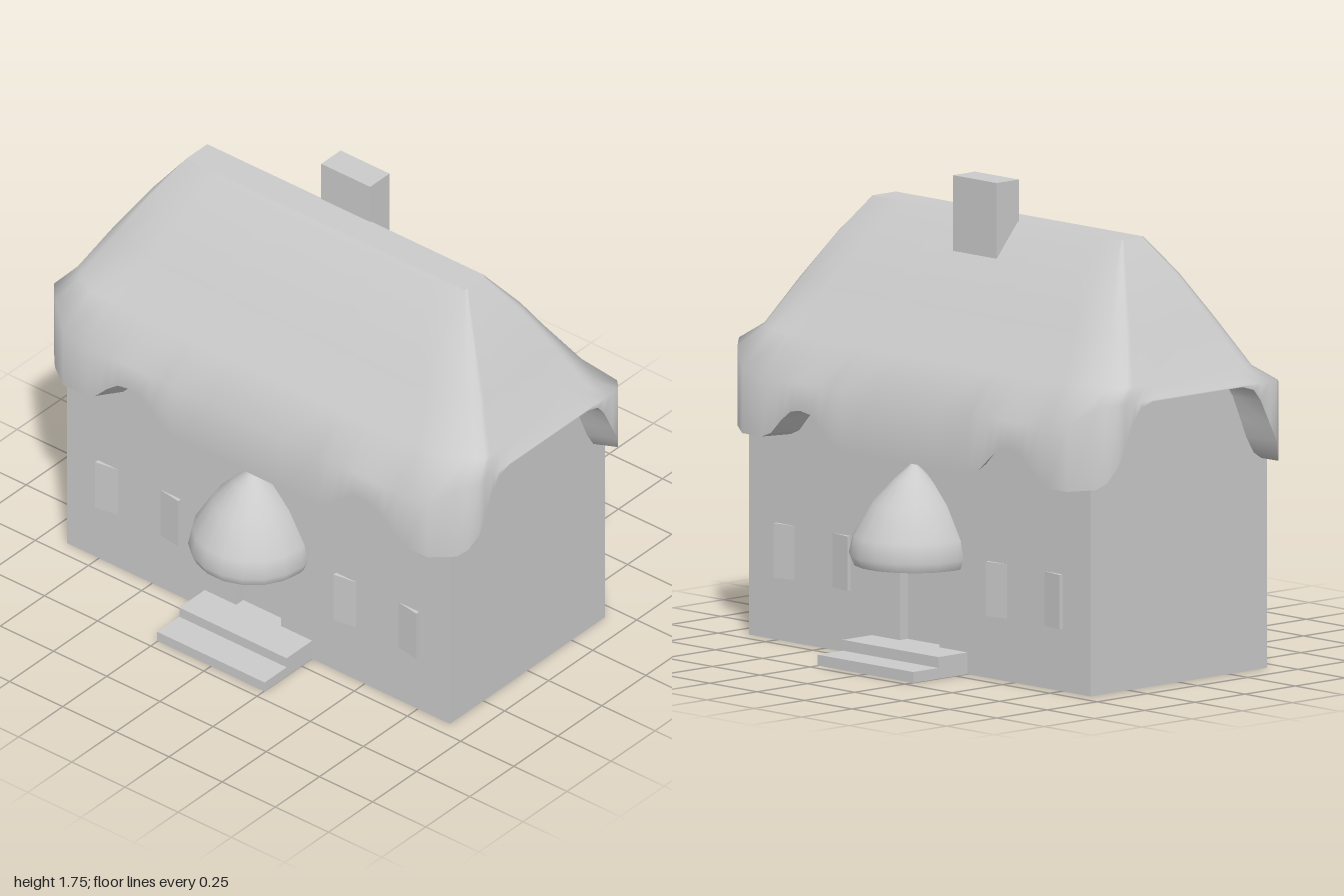
import * as THREE from 'three';

const mat = new THREE.MeshStandardMaterial({ color: 0xcccccc, side: THREE.DoubleSide });

function add(parent, name, geometry, x = 0, y = 0, z = 0) {
  const mesh = new THREE.Mesh(geometry, mat);
  mesh.name = name;
  mesh.position.set(x, y, z);
  parent.add(mesh);
  return mesh;
}

// Box missing one face (0 = +x, 3 = -y)
function openBox(w, h, d, face) {
  const g = new THREE.BoxGeometry(w, h, d);
  const index = Array.from(g.index.array);
  index.splice(face * 6, 6);
  g.setIndex(index);
  g.clearGroups();
  return g;
}

// Smooth skin over closed rings of equal length
function loft(rings) {
  const n = rings[0].length, index = [];
  for (let r = 0; r < rings.length - 1; r++) {
    for (let i = 0; i < n; i++) {
      const a = r * n + i, b = r * n + (i + 1) % n;
      index.push(a, a + n, b, b, a + n, b + n);
    }
  }
  const g = new THREE.BufferGeometry();
  g.setAttribute('position', new THREE.Float32BufferAttribute(rings.flat(2), 3));
  g.setIndex(index);
  g.computeVertexNormals();
  return g;
}

// Eave outline, one quarter: x, z and height of the wavy lower edge
const HALF_W = 0.515;
const quarter = [
  [0.515, 0, 0.755], [0.515, 0.17, 0.755], [0.515, 0.34, 0.755], [0.515, 0.39, 0.775],
  [0.515, 0.45, 0.83], [0.515, 0.5, 0.867], [0.515, 0.55, 0.875], [0.515, 0.6, 0.867],
  [0.515, 0.65, 0.83], [0.515, 0.705, 0.775], [0.515, 0.755, 0.755], [0.515, 0.857, 0.755],
  [0.455, 0.945, 0.765], [0.425, 0.973, 0.79], [0.395, 1, 0.85], [0.36, 1, 0.92],
  [0.315, 1, 1.01], [0.28, 1, 1.053], [0.225, 1, 1.07], [0, 1, 1.07],
];
const flip = (list, sx, sz) => list.map(([x, z, y]) => [x * sx, z * sz, y]);
const half = [...quarter, ...flip(quarter.slice(0, -1).reverse(), -1, 1)];
const outline = [...half, ...flip(half.slice(1, -1).reverse(), 1, -1)];

// Outline resized to half extents a, b; round 1 keeps cut corners, 0 squares them
function ring(a, b, round, height) {
  return outline.map(([x, z, y]) => {
    const nx = x / HALF_W;
    const m = Math.max(Math.abs(nx), Math.abs(z));
    const s = 1 / (m + (1 - m) * round);
    return [nx * s * a, height(y, Math.abs(z)), z * s * b];
  });
}

function makeRoof() {
  const roof = new THREE.Group();
  roof.name = 'roof';
  const eave = ring(HALF_W, 1, 1, y => y);
  add(roof, 'thatch', loft([
    eave,
    ring(HALF_W, 1, 1, (y, z) => 0.975 + 0.1 * THREE.MathUtils.smoothstep(z, 0.8, 1)),
    ring(0.402, 0.958, 0.95, () => 1.125),
    ring(0.29, 0.862, 0.8, () => 1.295),
    ring(0.175, 0.755, 0.5, () => 1.465),
    ring(0.06, 0.655, 0, () => 1.6),
  ]));
  add(roof, 'eaveUnderside', loft([ring(0.44, 0.9, 0, y => y + 0.01), eave]));
  add(roof, 'ridge', new THREE.PlaneGeometry(0.12, 1.31).rotateX(-Math.PI / 2), 0, 1.6, 0);
  return roof;
}

function polygon(points) {
  return new THREE.Shape(points.map(p => new THREE.Vector2(...p)));
}

// Everything on one long side, built facing +x
function makeLongSide() {
  const side = new THREE.Group();

  // Wall with a doorway
  const wall = polygon([[-0.9, 0], [0.9, 0], [0.9, 0.97], [-0.9, 0.97]]);
  wall.holes.push(polygon([[-0.105, 0.08], [-0.105, 0.42], [0.105, 0.42], [0.105, 0.08]]));
  add(side, 'longWall', new THREE.ShapeGeometry(wall).rotateY(Math.PI / 2), 0.44);
  add(side, 'doorRecess', openBox(0.04, 0.34, 0.21, 0), 0.42, 0.25, 0);

  // Hollow steps
  add(side, 'upperStep', openBox(0.165, 0.08, 0.505, 3), 0.5025, 0.04, 0);
  add(side, 'lowerStep', openBox(0.125, 0.04, 0.505, 3), 0.6475, 0.02, 0);

  // Bell-shaped door canopy
  const bell = [[0.22, 0.38], [0.236, 0.415], [0.222, 0.485], [0.15, 0.605], [0.07, 0.69], [0, 0.755]];
  add(side, 'doorCanopy',
    new THREE.LatheGeometry(bell.map(p => new THREE.Vector2(...p)), 18), 0.47);

  // Window shutters, wedges standing off the wall at their outer edge
  for (const centre of [-0.56, 0.56]) {
    for (const s of [-1, 1]) {
      const outer = centre + s * 0.195, inner = centre + s * 0.1;
      const wedge = polygon([[0.435, -outer], [0.456, -outer], [0.441, -inner], [0.435, -inner]]);
      const g = new THREE.ExtrudeGeometry(wedge, { depth: 0.2, bevelEnabled: false });
      add(side, 'shutter', g.rotateX(-Math.PI / 2), 0, 0.23, 0);
    }
  }
  return side;
}

export function createModel() {
  const house = new THREE.Group();
  house.name = 'cottage';

  const left = makeLongSide();
  left.name = 'leftSide';
  const right = makeLongSide();
  right.name = 'rightSide';
  right.rotation.y = Math.PI;
  house.add(left, right);

  // Gable walls
  const gable = polygon([[-0.44, 0], [0.44, 0], [0.44, 0.97], [0.3, 1.09], [-0.3, 1.09], [-0.44, 0.97]]);
  add(house, 'frontWall', new THREE.ShapeGeometry(gable), 0, 0, 0.9);
  add(house, 'backWall', new THREE.ShapeGeometry(gable), 0, 0, -0.9).rotation.y = Math.PI;

  house.add(makeRoof());
  add(house, 'chimney', new THREE.BoxGeometry(0.11, 0.295, 0.23), 0.11, 1.6075, 0);
  return house;
}
